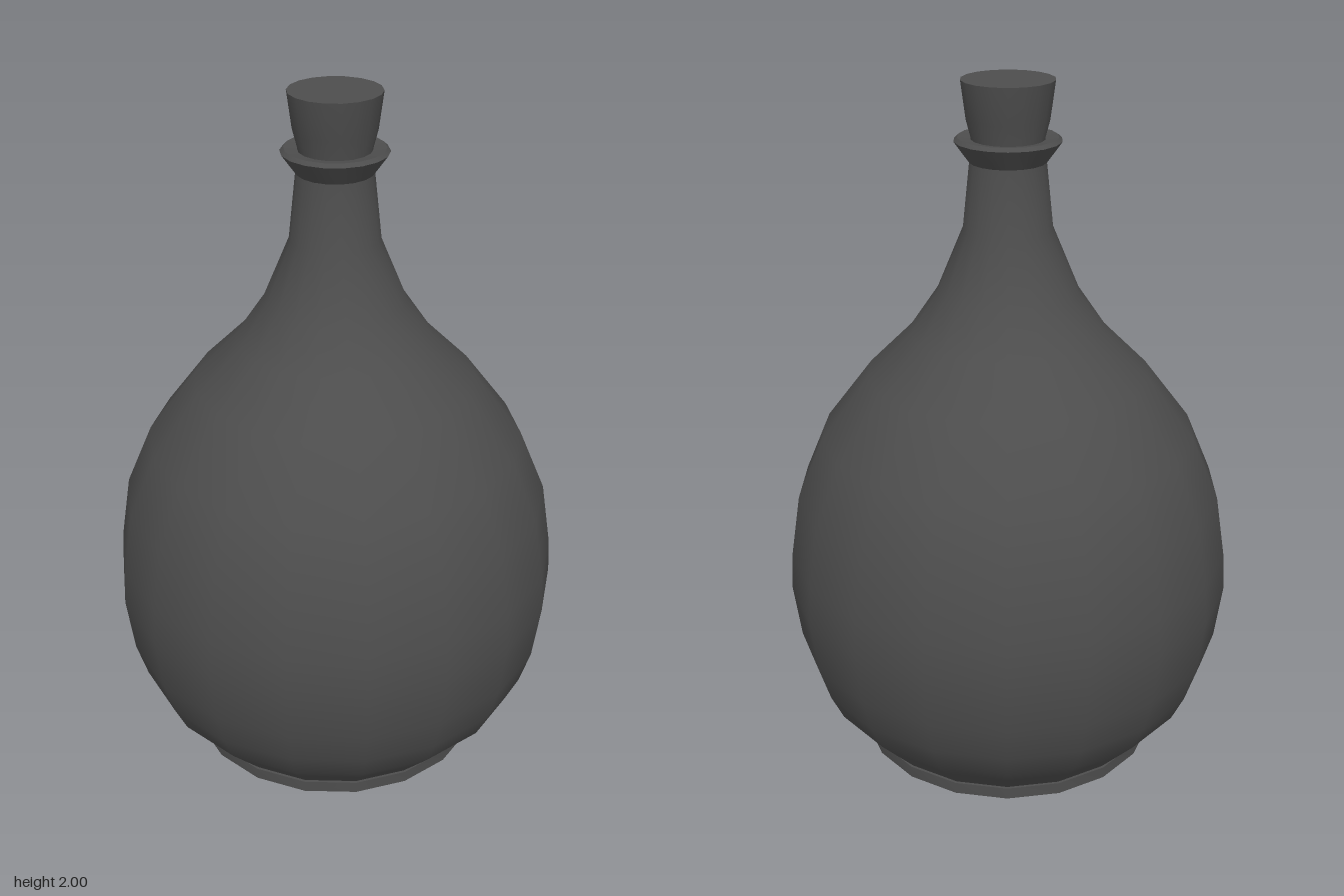
import * as THREE from 'three';
import { toCreasedNormals } from 'three/addons/utils/BufferGeometryUtils.js';

const SIDES = 18;

export function createModel() {
  const group = new THREE.Group();
  const material = new THREE.MeshStandardMaterial({ color: 0x4d4d4d });

  // Turns a [radius, height] profile, listed bottom to top, around the y axis
  function turned(name, profile) {
    const points = profile.map(([r, y]) => new THREE.Vector2(r, y));
    // start at +x so that a corner lies on the x axis
    const lathe = new THREE.LatheGeometry(points, SIDES, Math.PI / 2);
    const mesh = new THREE.Mesh(toCreasedNormals(lathe, 0.65), material);
    mesh.name = name;
    group.add(mesh);
  }

  // Flat foot disc
  turned('foot', [[0, 0], [0.443, 0], [0.443, 0.035], [0.42, 0.035]]);

  // Bulbous body running up into the neck
  turned('body', [
    [0.435, 0.035], [0.5, 0.105], [0.56, 0.17], [0.598, 0.25], [0.63, 0.355],
    [0.652, 0.52], [0.645, 0.63], [0.617, 0.81], [0.541, 0.99], [0.405, 1.17],
    [0.28, 1.295], [0.202, 1.41], [0.127, 1.59], [0.107, 1.78],
  ]);

  // Flared lip around the mouth
  turned('lip', [[0.105, 1.775], [0.149, 1.836], [0.139, 1.846], [0.09, 1.838]]);

  // Tapered stopper
  turned('stopper', [[0, 1.78], [0.098, 1.78], [0.102, 1.845], [0.115, 1.895], [0.129, 2], [0, 2]]);

  return group;
}
